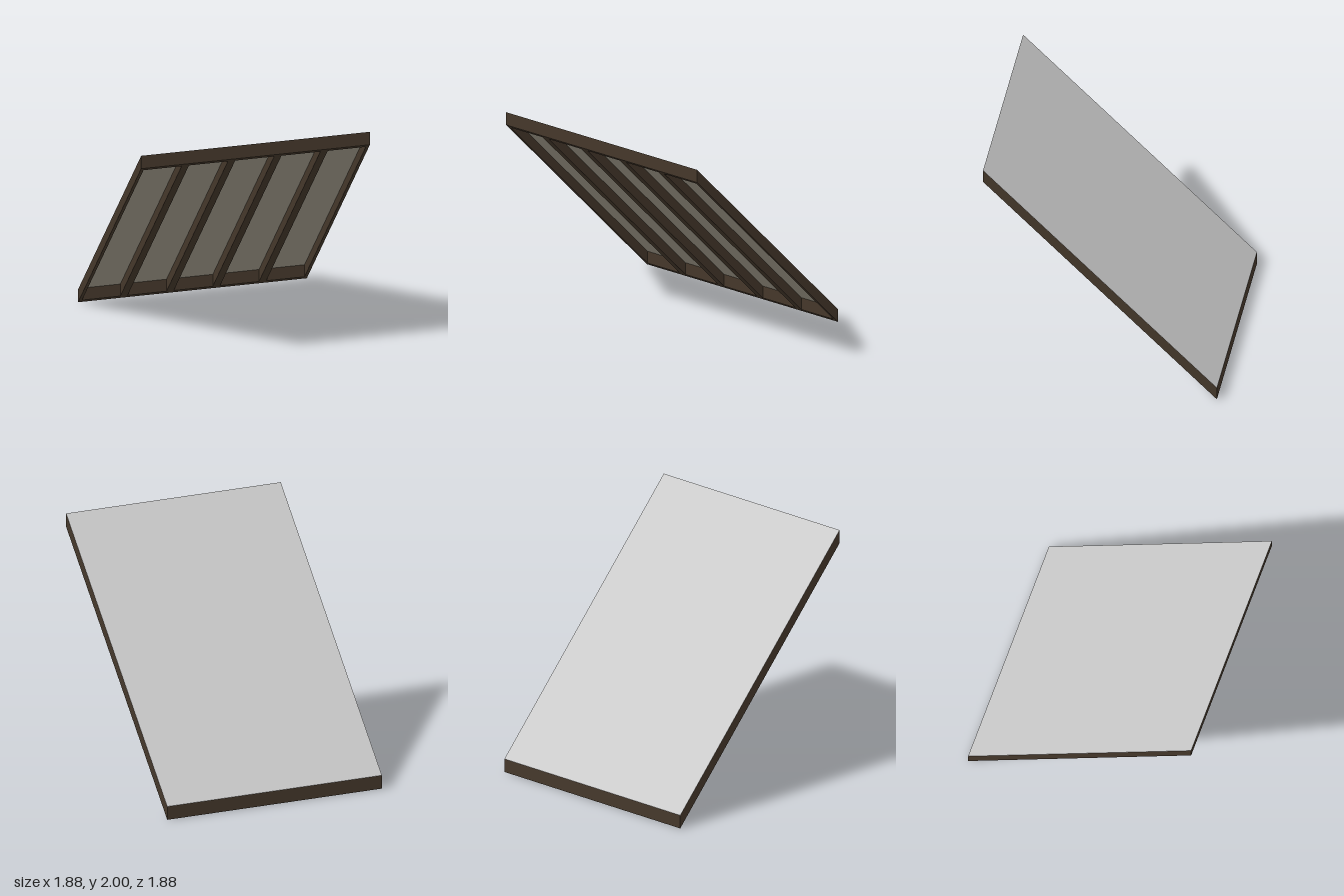
import * as THREE from 'three';

const HALF = 0.94;      // half width and half depth
const SLOPE = 1.005;    // rise per unit of z
const TOP = 1.0553;     // height of the upper surface at z = 0
const DEPTH = 0.1106;   // vertical depth of the frame
const RIM = 0.026;      // thickness of the outer boards
const RIB = 0.06;       // width of the inner rafters
const SKIN = 0.001;     // thin top sheet
const LINING = 0.008;   // depth of the lining under the sheet

export function createModel() {
  const model = new THREE.Group();
  model.name = 'slopedRoofPanel';
  const wood = new THREE.MeshStandardMaterial({ color: 0x45382b });
  const lining = new THREE.MeshStandardMaterial({ color: 0xa09a8b });
  const grey = new THREE.MeshStandardMaterial({ color: 0xcccccc });

  // Box between two x and two z limits, sheared to follow the slope;
  // upper and lower are vertical distances below the upper surface.
  function slopedBox(name, x0, x1, z0, z1, upper, lower, material) {
    const g = new THREE.BoxGeometry(x1 - x0, lower - upper, z1 - z0);
    g.translate((x0 + x1) / 2, TOP - (upper + lower) / 2, (z0 + z1) / 2);
    const p = g.attributes.position;
    for (let i = 0; i < p.count; i++) p.setY(i, p.getY(i) + SLOPE * p.getZ(i));
    g.computeVertexNormals();
    const mesh = new THREE.Mesh(g, material);
    mesh.name = name;
    model.add(mesh);
  }

  const inner = HALF - RIM;

  // Top sheet
  slopedBox('topSheet', -HALF, HALF, -HALF, HALF, 0, SKIN, grey);

  // Outer frame
  slopedBox('frontBoard', -HALF, HALF, inner, HALF, SKIN, DEPTH, wood);
  slopedBox('backBoard', -HALF, HALF, -HALF, -inner, SKIN, DEPTH, wood);
  slopedBox('leftBoard', inner, HALF, -inner, inner, SKIN, DEPTH, wood);
  slopedBox('rightBoard', -HALF, -inner, -inner, inner, SKIN, DEPTH, wood);

  // Rafters, flush with the underside of the frame
  const ribs = [-0.57, -0.19, 0.19, 0.57];
  for (const x of ribs) {
    slopedBox('rafter', x - RIB / 2, x + RIB / 2, -inner, inner, SKIN, DEPTH, wood);
  }

  // Lining in the five bays between the rafters
  for (let i = 0; i <= ribs.length; i++) {
    const x0 = i === 0 ? -inner : ribs[i - 1] + RIB / 2;
    const x1 = i === ribs.length ? inner : ribs[i] - RIB / 2;
    slopedBox('bayLining', x0, x1, -inner, inner, SKIN, LINING, lining);
  }

  return model;
}
